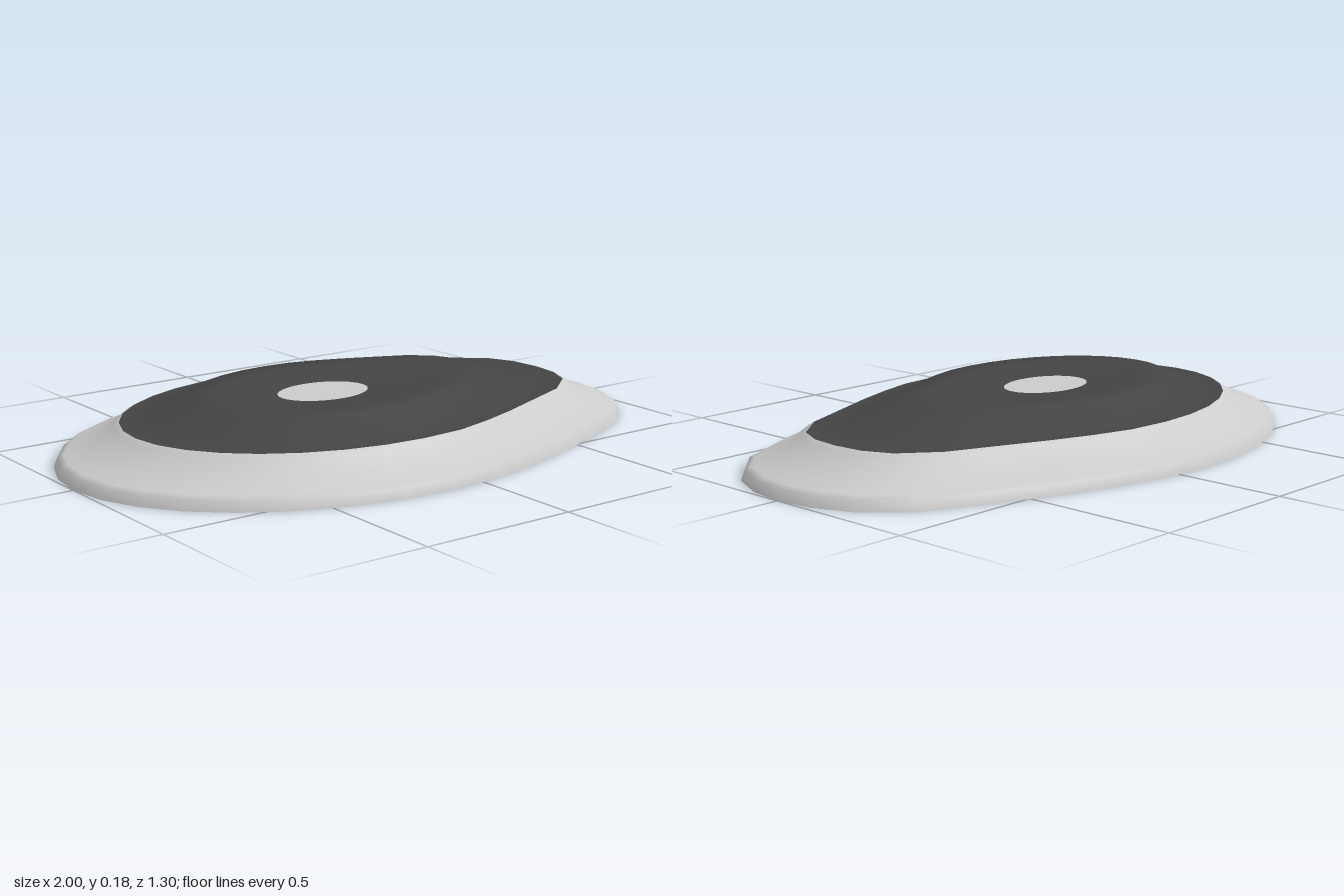
import * as THREE from 'three';

const SEG = 32;

// Egg-shaped half outlines (x, z): elliptical towards -x, tapered towards +x
function eggOutline(rx, rz, taper) {
  const half = [];
  for (let i = 0; i <= 8; i++) {
    const a = (i / 16) * Math.PI;
    half.push([-0.11 - rx * Math.cos(a), rz * Math.sin(a)]);
  }
  half.push(...taper);
  return mirrorOutline(half);
}

// Completes a half outline of 17 points to a closed loop of 32
function mirrorOutline(half) {
  const back = half.slice(1, -1).reverse().map(([x, z]) => [x, -z]);
  return [...half, ...back];
}

const rim = eggOutline(0.89, 0.65, [
  [0.06, 0.635], [0.22, 0.6], [0.4, 0.545], [0.62, 0.46],
  [0.82, 0.365], [0.93, 0.25], [0.985, 0.12], [1, 0],
]);
const inset = eggOutline(0.68, 0.5, [
  [0.04, 0.49], [0.17, 0.455], [0.3, 0.41], [0.46, 0.345],
  [0.62, 0.28], [0.73, 0.19], [0.77, 0.1], [0.78, 0],
]);
const eye = mirrorOutline(Array.from({ length: 17 }, (_, i) => {
  const a = (i / 16) * Math.PI;
  return [-0.115 - 0.155 * Math.cos(a), i === 16 ? 0 : 0.112 * Math.sin(a)];
}));
const centre = eye.map(() => [-0.115, 0]);

// Skins rings blended from one outline to another; profile = [blend, height]
function shell(name, from, to, profile, color) {
  const positions = [], index = [];
  for (const [t, y] of profile) {
    from.forEach(([x, z], k) => {
      positions.push(x + (to[k][0] - x) * t, y, z + (to[k][1] - z) * t);
    });
  }
  for (let r = 0; r < profile.length - 1; r++) {
    for (let k = 0; k < SEG; k++) {
      const a = r * SEG + k, b = r * SEG + ((k + 1) % SEG);
      index.push(a, b, b + SEG, a, b + SEG, a + SEG);
    }
  }
  const geometry = new THREE.BufferGeometry();
  geometry.setAttribute('position', new THREE.Float32BufferAttribute(positions, 3));
  geometry.setIndex(index);
  geometry.computeVertexNormals();
  const mesh = new THREE.Mesh(geometry,
    new THREE.MeshStandardMaterial({ color, side: THREE.DoubleSide }));
  mesh.name = name;
  return mesh;
}

export function createModel() {
  const model = new THREE.Group();
  model.name = 'eggShapedShell';

  // Stepped outer skirt, open underneath
  model.add(shell('outerSkirt', rim, inset, [
    [0, 0], [0.06, 0.03], [0.16, 0.04], [0.6, 0.065], [0.92, 0.112], [1, 0.12],
  ], 0xcccccc));

  // Dark raised plate with a flat border and a shallow dish
  model.add(shell('raisedPlate', inset, eye, [
    [0, 0.12], [0.2, 0.12], [0.42, 0.18], [0.6, 0.178], [1, 0.164],
  ], 0x444444));

  // Pale oval in the dish
  model.add(shell('centreOval', eye, centre, [[0, 0.164], [0.99, 0.162], [1, 0.162]], 0xcccccc));

  return model;
}
